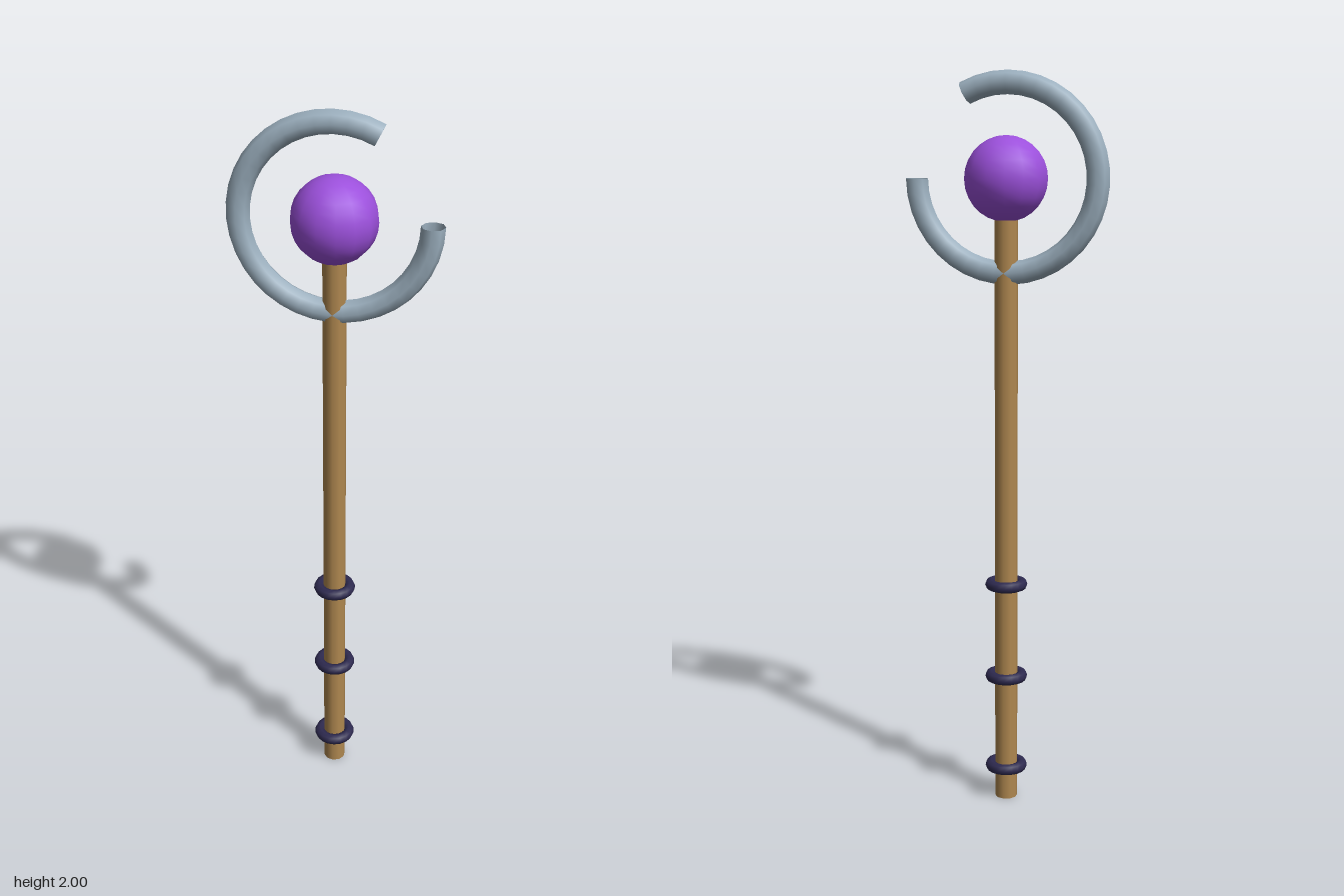
import * as THREE from 'three';

export function createModel() {
  const model = new THREE.Group();
  model.name = 'staff';

  const material = (name, color) => {
    const m = new THREE.MeshStandardMaterial({ color });
    m.name = name;
    return m;
  };
  const wood = material('wood', 0xb08850);
  const metal = material('pale steel', 0x9db1c0);
  const gem = material('purple gem', 0x9c50dc);
  const wrap = material('dark indigo', 0x2e2a50);
  metal.side = THREE.DoubleSide; // the hoop is an open tube

  const add = (name, geometry, mat, y) => {
    const mesh = new THREE.Mesh(geometry, mat);
    mesh.name = name;
    mesh.position.y = y;
    model.add(mesh);
    return mesh;
  };

  // Shaft, running up into the orb
  const shaftTop = 1.66;
  add('shaft', new THREE.CylinderGeometry(0.031, 0.031, shaftTop, 10), wood, shaftTop / 2);

  // Grip bands
  [0.092, 0.357, 0.622].forEach((y, i) => {
    const band = new THREE.TorusGeometry(0.043, 0.0155, 8, 18).rotateX(Math.PI / 2);
    add('gripBand' + (i + 1), band, wrap, y);
  });

  // Orb and the broken hoop around it, open at the upper left of the model
  const headY = 1.723;
  add('orb', new THREE.SphereGeometry(0.112, 14, 14), gem, headY);
  const hoop = new THREE.TorusGeometry(0.246, 0.031, 8, 32, Math.PI * 1.65);
  add('hoop', hoop.rotateZ(Math.PI * 0.35), metal, headY);

  return model;
}
